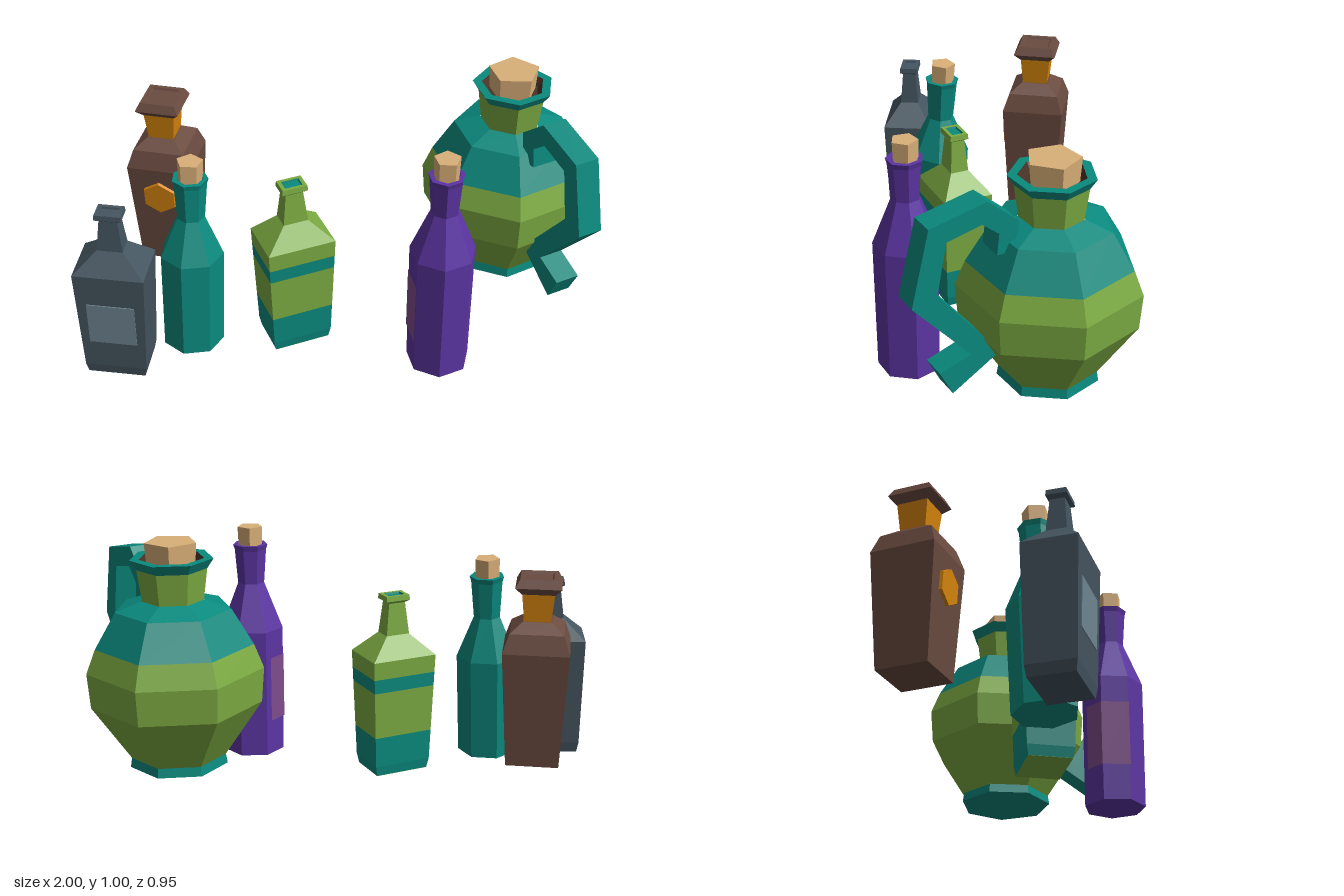
import * as THREE from 'three';

const TEAL = 0x0a8a7e, GREEN = 0x7cab42, PURPLE = 0x5c35a3, SLATE = 0x455560, PALE = 0x708692,
  BROWN = 0x6a4b40, AMBER = 0xd8860c, CORK = 0xd9af78, MAUVE = 0x7f4c8c, DARK = 0x4a3328;

// Cross-sections: a regular polygon and a rectangle, both in the same turning order
const poly = (n, start, r, y) => Array.from({ length: n }, (_, i) => {
  const a = THREE.MathUtils.degToRad(start) + i * Math.PI * 2 / n;
  return new THREE.Vector3(r * Math.cos(a), y, r * Math.sin(a));
});
const rect = (w, d, y) => [[w, -d], [w, d], [-w, d], [-w, -d]].map(([x, z]) => new THREE.Vector3(x, y, z));

function addMesh(parent, name, color, geometry) {
  const mesh = new THREE.Mesh(geometry, new THREE.MeshStandardMaterial({ color, flatShading: true }));
  mesh.name = name;
  parent.add(mesh);
  return mesh;
}

// Skin a list of rings, with optional end caps
function loft(parent, name, color, rings, bottom = false, top = false) {
  const pts = [];
  const n = rings[0].length;
  for (let k = 0; k + 1 < rings.length; k++) {
    const a = rings[k], b = rings[k + 1];
    for (let i = 0; i < n; i++) {
      const j = (i + 1) % n;
      pts.push(a[i], b[i], a[j], b[i], b[j], a[j]);
    }
  }
  const end = rings[rings.length - 1];
  for (let i = 1; i + 1 < n; i++) {
    if (bottom) pts.push(rings[0][0], rings[0][i], rings[0][i + 1]);
    if (top) pts.push(end[0], end[i + 1], end[i]);
  }
  const g = new THREE.BufferGeometry().setFromPoints(pts);
  g.computeVertexNormals();
  return addMesh(parent, name, color, g);
}

function place(root, name, x, y, z, rx = 0, ry = 0, rz = 0) {
  const g = new THREE.Group();
  g.name = name;
  g.position.set(x, y, z);
  g.rotation.set(rx, ry, rz);
  root.add(g);
  return g;
}

const cork = (g, r, y0, y1) =>
  loft(g, 'cork', CORK, [poly(5, -8, r * 0.92, y0), poly(5, -8, r, y1)], true, true);

// Slim seven-sided bottle: straight body, sloping shoulder, flared neck
function slimBottle(g, color, start, r, shoulder, neck, top) {
  const ring = (s, y) => poly(7, start, s, y);
  loft(g, 'bottle', color, [
    ring(r * 0.97, 0), ring(r, shoulder), ring(0.052, neck), ring(0.062, top - 0.02),
    ring(0.068, top), ring(0.05, top), ring(0.046, top - 0.03),
  ], true, true);
  cork(g, 0.05, top - 0.03, top + 0.07);
}

// Flat rectangular bottle, coloured in bands
function flatBottle(g, bands, neckColor, mouthColor) {
  const w = 0.132, d = 0.098;
  const ring = y => {
    const k = y < 0.04 ? 0.82 + y * 1.5 : 0.88 + 0.12 * (y - 0.04) / 0.43;
    return rect(w * k, d * k, y);
  };
  bands.forEach(([color, ...ys], i) => loft(g, 'bodyBand', color, ys.map(ring), false));
  loft(g, 'base', neckColor, [rect(w * 0.82, d * 0.82, 0), ring(0.001)], true);
  loft(g, 'neck', neckColor, [
    ring(0.47), rect(0.048, 0.036, 0.55), rect(0.034, 0.026, 0.675),
    rect(0.05, 0.037, 0.685), rect(0.048, 0.035, 0.705), rect(0.034, 0.022, 0.705),
  ]);
  loft(g, 'mouth', mouthColor, [rect(0.034, 0.022, 0.705), rect(0.032, 0.02, 0.697)], false, true);
}

// Bent bar with mitred corners; each point is [outward, height, thickness]
function jugHandle(g, path, width) {
  const dir = i => new THREE.Vector2(path[i + 1][0] - path[i][0], path[i + 1][1] - path[i][1]).normalize();
  const rings = path.map(([s, y, t], i) => {
    const a = dir(Math.max(i - 1, 0)), b = dir(Math.min(i, path.length - 2));
    const m = a.clone().add(b).normalize();
    const h = t / 2 / Math.max(m.dot(a), 0.66);
    return rect(h, width / 2, 0).map(p => new THREE.Vector3(s + m.y * p.x, y - m.x * p.x, p.z));
  });
  const mesh = loft(g, 'handle', TEAL, rings, true, true);
  mesh.rotation.y = THREE.MathUtils.degToRad(-71);
}

export function createModel() {
  const root = new THREE.Group();
  root.name = 'bottleSet';

  // Round jug with bands, flared rim, cork and handle
  const jug = place(root, 'jug', 0.678, 0, -0.09);
  const jr = (r, y) => poly(7, -8.5, r, y);
  loft(jug, 'foot', TEAL, [jr(0.182, 0.165), jr(0.176, 0.2)], true);
  loft(jug, 'belly', GREEN, [jr(0.176, 0.2), jr(0.315, 0.41), jr(0.325, 0.54), jr(0.29, 0.628)]);
  loft(jug, 'shoulder', TEAL, [jr(0.29, 0.628), jr(0.212, 0.757), jr(0.115, 0.79)]);
  loft(jug, 'neck', GREEN, [jr(0.112, 0.785), jr(0.128, 0.905)]);
  loft(jug, 'rim', TEAL, [jr(0.128, 0.905), jr(0.152, 0.942), jr(0.118, 0.942)]);
  loft(jug, 'mouth', DARK, [jr(0.118, 0.942), jr(0.1, 0.91)], false, true);
  cork(jug, 0.097, 0.9, 1.0);
  jugHandle(jug, [
    [0.2, 0.72, 0.07], [0.19, 0.815, 0.07], [0.28, 0.89, 0.072], [0.45, 0.853, 0.075],
    [0.5, 0.623, 0.085], [0.277, 0.36, 0.075], [0.426, 0.285, 0.105],
  ], 0.095);

  // Slim purple bottle with a label wrapped over two sides
  const purple = place(root, 'purpleBottle', 0.338, 0.027, 0.353);
  slimBottle(purple, PURPLE, -5, 0.123, 0.51, 0.69, 0.843);
  const lower = poly(7, -5, 0.125, 0.14).slice(3, 6), upper = poly(7, -5, 0.125, 0.4).slice(3, 6);
  lower[2].lerp(lower[1], 0.25);
  upper[2].lerp(upper[1], 0.25);
  const wrap = [0, 1].flatMap(i => [lower[i], upper[i], lower[i + 1], upper[i], upper[i + 1], lower[i + 1]]);
  const wrapGeometry = new THREE.BufferGeometry().setFromPoints(wrap);
  wrapGeometry.computeVertexNormals();
  addMesh(purple, 'label', MAUVE, wrapGeometry).material.side = THREE.DoubleSide;

  // Slim teal bottle, leaning slightly
  const teal = place(root, 'tealBottle', -0.573, 0.04, 0.117, -0.04, 0, -0.04);
  slimBottle(teal, TEAL, 10, 0.12, 0.4, 0.56, 0.725);

  // Striped flat bottle
  const green = place(root, 'stripedBottle', -0.178, 0.003, 0.098, 0, 0.25, 0);
  flatBottle(green, [[TEAL, 0.001, 0.04, 0.16], [GREEN, 0.16, 0.345], [TEAL, 0.345, 0.4], [GREEN, 0.4, 0.47]],
    GREEN, TEAL);

  // Slate flat bottle with a pale label
  const slate = place(root, 'slateBottle', -0.852, 0.008, 0.175, 0, -0.265, -0.02);
  flatBottle(slate, [[SLATE, 0.001, 0.04, 0.47]], SLATE, SLATE);
  const label = addMesh(slate, 'label', PALE, new THREE.BoxGeometry(0.178, 0.18, 0.006));
  label.position.set(0, 0.25, 0.0925);
  label.rotation.x = 0.027;

  // Square brown bottle with amber neck, lid and six-sided badge
  const brown = place(root, 'brownBottle', -0.617, 0, -0.317, 0, -0.35, 0);
  const sq = (h, y) => rect(h, h, y);
  loft(brown, 'body', BROWN, [sq(0.097, 0.165), sq(0.121, 0.6), sq(0.098, 0.67), sq(0.053, 0.705)], true, true);
  loft(brown, 'neck', AMBER, [sq(0.048, 0.7), sq(0.059, 0.815)]);
  loft(brown, 'lid', BROWN, [
    sq(0.059, 0.808), sq(0.083, 0.835), sq(0.067, 0.866), sq(0.052, 0.866), sq(0.048, 0.858),
  ], true, true);
  const badge = addMesh(brown, 'badge', AMBER, new THREE.CylinderGeometry(0.068, 0.072, 0.02, 6));
  badge.position.set(0, 0.475, 0.116);
  badge.rotation.x = Math.PI / 2 + 0.055;

  return root;
}
